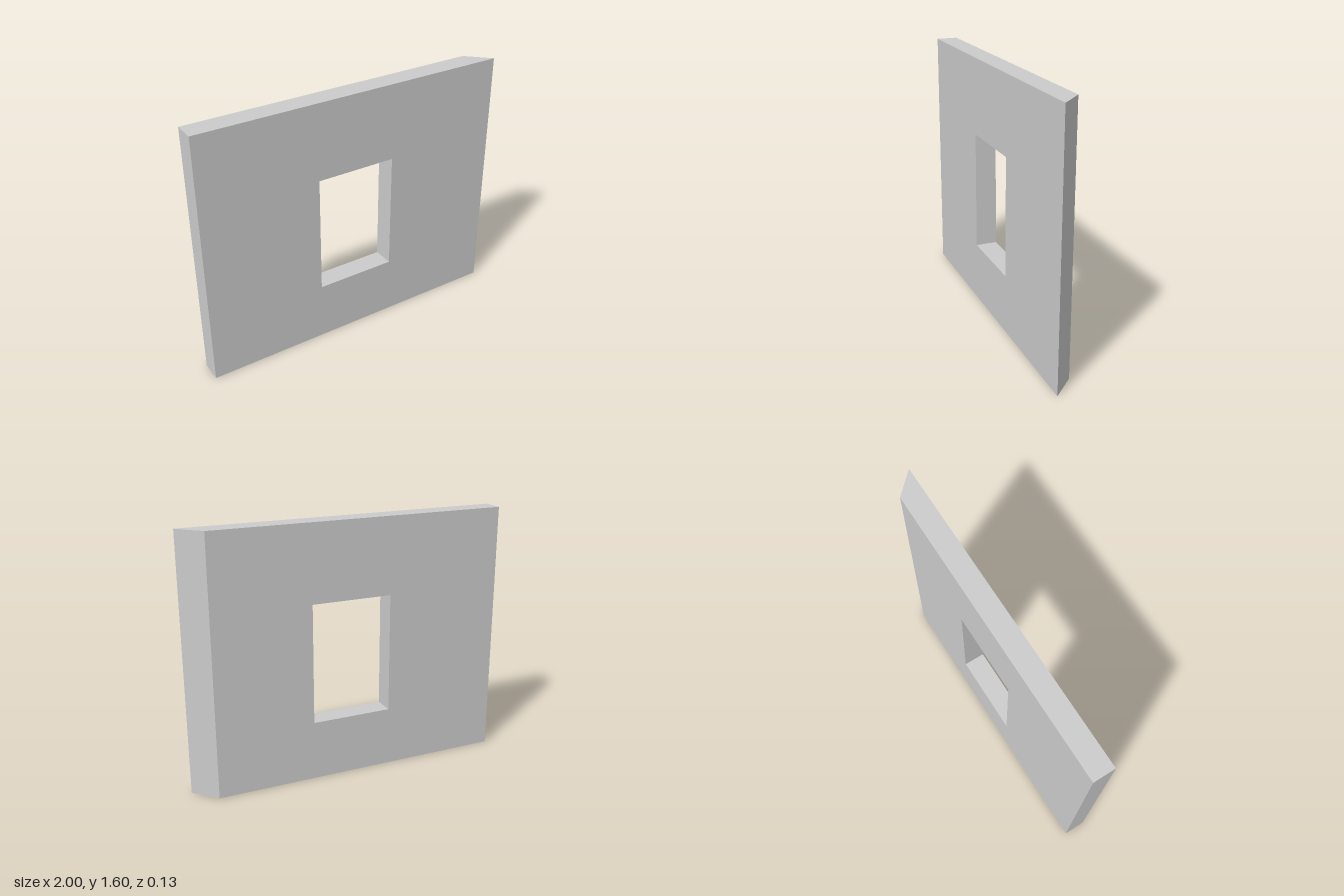
import * as THREE from 'three';

const WIDTH = 2, HEIGHT = 1.6, DEPTH = 0.134;

// Counter-clockwise rectangle as a list of points
const rect = (x0, y0, x1, y1) => [
  new THREE.Vector2(x0, y0), new THREE.Vector2(x1, y0),
  new THREE.Vector2(x1, y1), new THREE.Vector2(x0, y1),
];

export function createModel() {
  const group = new THREE.Group();
  group.name = 'windowWall';

  // Wall panel with a window opening
  const shape = new THREE.Shape(rect(-WIDTH / 2, 0, WIDTH / 2, HEIGHT));
  shape.holes.push(new THREE.Path(rect(-0.253, 0.373, 0.253, 1.12).reverse()));
  const geometry = new THREE.ExtrudeGeometry(shape, { depth: DEPTH, bevelEnabled: false });
  geometry.translate(0, 0, -DEPTH / 2);

  // Mitre the left end at 45 degrees by pulling in its back edge
  const pos = geometry.attributes.position;
  for (let i = 0; i < pos.count; i++) {
    if (pos.getX(i) > 0.99 && pos.getZ(i) < 0) pos.setX(i, WIDTH / 2 - DEPTH);
  }
  geometry.computeVertexNormals();

  const wall = new THREE.Mesh(
    geometry,
    new THREE.MeshStandardMaterial({ color: 0xcccccc, flatShading: true }),
  );
  wall.name = 'wallPanel';
  group.add(wall);
  return group;
}
